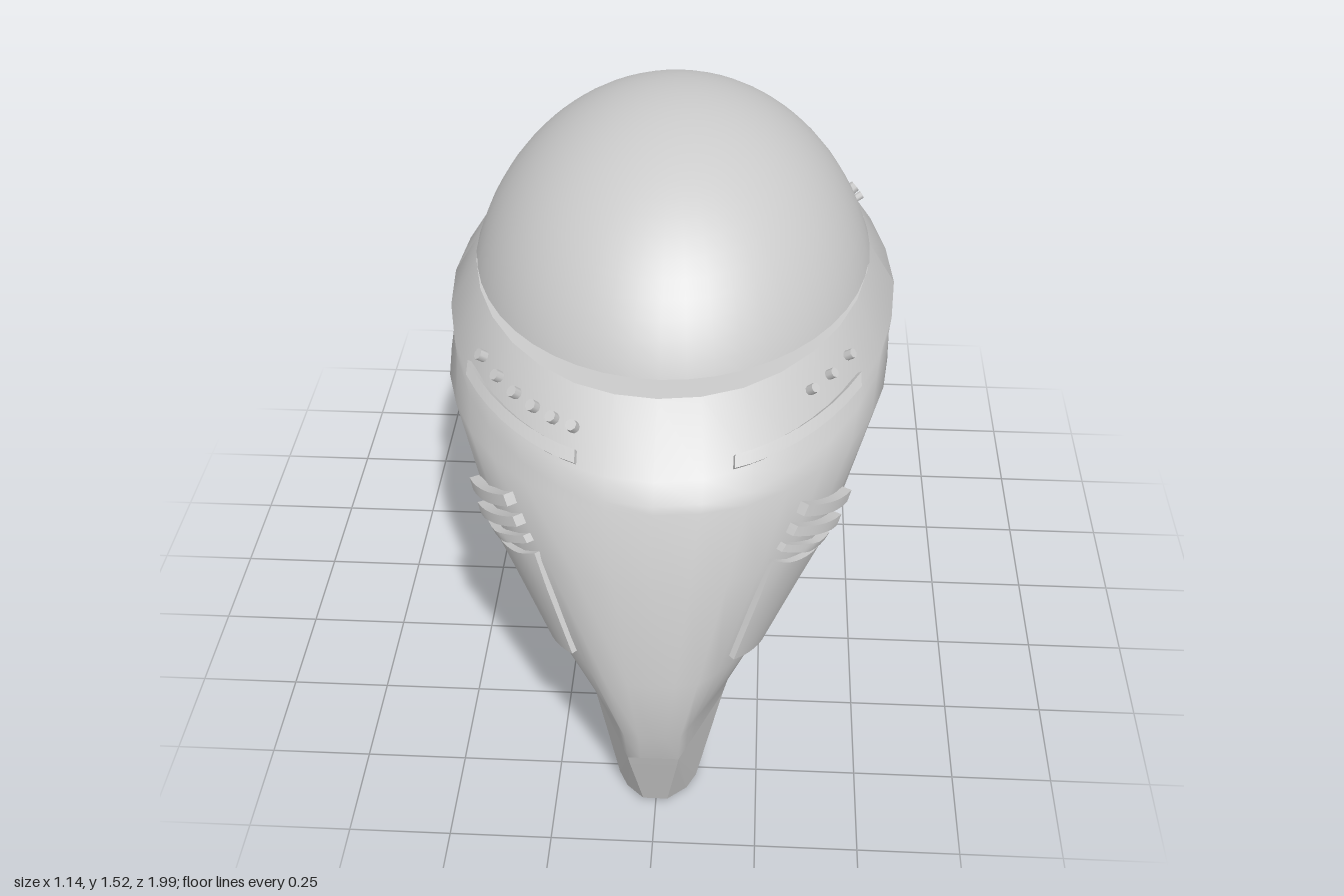
import * as THREE from 'three';
import { ConvexGeometry } from 'three/addons/geometries/ConvexGeometry.js';

const grey = new THREE.MeshStandardMaterial({ color: 0xcccccc });
const shellGrey = new THREE.MeshStandardMaterial({ color: 0xcccccc, side: THREE.DoubleSide });
const { lerp } = THREE.MathUtils;

// Shell sections: height, half width, z of the opening's edge, z of the nose, flatness
const ROWS = [
  [1.13, 0.50, 0, 0.715, 0.03],
  [1.016, 0.57, 0, 0.87, 0.06],
  [0.965, 0.565, 0, 0.895, 0.07],
  [0.95, 0.545, 0.26, 0.905, 0.1],
  [0.78, 0.44, 0.53, 0.957, 0.15],
  [0.52, 0.28, 0.70, 0.997, 0.4],
  [0.337, 0.172, 0.777, 0.978, 1],
  [0.24, 0.16, 0.724, 0.952, 1],
];
const NOSE = 0.38; // width of the flat nose strip relative to the section

// Point of one section; u runs from the opening's edge (0) to the nose (1)
function sectionPoint([y, w, e, f, k], u) {
  const a = u * Math.PI / 2;
  const t = Math.min(u / 0.75, 1);
  const flatX = u < 0.75 ? lerp(w, w * NOSE, t) : w * NOSE * (1 - u) / 0.25;
  return new THREE.Vector3(
    lerp(w * Math.cos(a), flatX, k), y,
    lerp(e + (f - e) * Math.sin(a), lerp(e, f, t), k));
}

function surface(y, u) {
  let i = 0;
  while (i < ROWS.length - 2 && y < ROWS[i + 1][0]) i++;
  const t = (y - ROWS[i][0]) / (ROWS[i + 1][0] - ROWS[i][0]);
  return sectionPoint(ROWS[i].map((v, n) => lerp(v, ROWS[i + 1][n], t)), u);
}

// Surface point and outward normal found from a front position (x, y)
function locate(x, y) {
  let lo = 0, hi = 1;
  for (let n = 0; n < 30; n++) {
    const mid = (lo + hi) / 2;
    if (surface(y, mid).x > x) lo = mid; else hi = mid;
  }
  const point = surface(y, lo);
  const across = surface(y, lo + 0.02).sub(surface(y, lo - 0.02));
  const down = surface(y - 0.01, lo).sub(surface(y + 0.01, lo));
  return { point, normal: across.cross(down).normalize() };
}

// Front half of the shell, from the +x edge over the nose to the -x edge
function shellGeometry() {
  const half = 8, n = half * 2 + 1;
  const pos = [], idx = [];
  ROWS.forEach((row, i) => {
    for (let j = 0; j < n; j++) {
      const p = sectionPoint(row, 1 - Math.abs(j - half) / half);
      pos.push(j > half ? -p.x : p.x, p.y, p.z);
      if (i < ROWS.length - 1 && j < n - 1) {
        const a = i * n + j;
        idx.push(a, a + 1, a + n, a + 1, a + n + 1, a + n);
      }
    }
  });
  const g = new THREE.BufferGeometry();
  g.setAttribute('position', new THREE.Float32BufferAttribute(pos, 3));
  g.setIndex(idx);
  g.computeVertexNormals();
  // Keep shading continuous where the halves meet
  const N = g.attributes.normal, v = new THREE.Vector3();
  for (let i = 0; i < N.count; i++) {
    if (Math.abs(g.attributes.position.getZ(i)) > 1e-4) continue;
    v.fromBufferAttribute(N, i).setZ(0).normalize();
    N.setXYZ(i, v.x, v.y, v.z);
  }
  return g;
}

// Solid toe with an inward lip
function footGeometry() {
  const rings = [ // y, half width at back, z back, half width at front, z front
    [0.24, 0.16, 0.724, 0.16 * NOSE, 0.952],
    [0.21, 0.16, 0.654, 0.057, 0.943],
    [0.03, 0.102, 0.735, 0.03, 0.887],
    [0, 0.097, 0.775, 0.075, 0.82],
  ];
  const pts = [];
  for (const [y, wb, zb, wf, zf] of rings)
    for (const s of [1, -1])
      pts.push(new THREE.Vector3(s * wb, y, zb), new THREE.Vector3(s * wf, y, zf));
  return new ConvexGeometry(pts);
}

// Raised pad hugging the shell; corners: lower left, lower right, upper right, upper left
function padGeometry(c, height) {
  const g = new THREE.BoxGeometry(1, 1, 1, 8, 3, 1);
  const p = g.attributes.position;
  for (let i = 0; i < p.count; i++) {
    const s = p.getX(i) + 0.5, t = p.getY(i) + 0.5;
    const x = lerp(lerp(c[0][0], c[1][0], s), lerp(c[3][0], c[2][0], s), t);
    const y = lerp(lerp(c[0][1], c[1][1], s), lerp(c[3][1], c[2][1], s), t);
    const { point, normal } = locate(x, y);
    point.addScaledVector(normal, p.getZ(i) > 0 ? height : -0.025);
    p.setXYZ(i, point.x, point.y, point.z);
  }
  g.computeVertexNormals();
  return g;
}

export function createModel() {
  const model = new THREE.Group();
  const add = (name, geometry, material = grey, parent = model) => {
    const m = new THREE.Mesh(geometry, material);
    m.name = name;
    parent.add(m);
    return m;
  };

  // Shell halves and toes
  const shell = shellGeometry(), foot = footGeometry();
  ['front', 'back'].forEach((end, i) => {
    add(end + 'Shell', shell, shellGrey).rotation.y = i * Math.PI;
    add(end + 'Foot', foot).rotation.y = i * Math.PI;
  });

  // Dome: cap of an ellipsoid
  const dome = add('dome', new THREE.SphereGeometry(1, 48, 16, 0, Math.PI * 2, 0, 1.26), shellGrey);
  dome.scale.set(0.527, 0.57, 0.675);
  dome.position.y = 0.95;

  // Flat rim around the dome
  const rimShape = new THREE.Shape();
  for (let i = 0; i < 32; i++) {
    const p = sectionPoint(ROWS[0], 1 - Math.abs((i % 16) - 8) / 8);
    const sx = i % 16 > 8 ? -1 : 1, flip = i < 16 ? 1 : -1;
    rimShape[i ? 'lineTo' : 'moveTo'](sx * flip * p.x, flip * p.z);
  }
  rimShape.holes.push(new THREE.Path().absellipse(0, 0, 0.485, 0.625, 0, Math.PI * 2, true));
  const rim = add('rim', new THREE.ShapeGeometry(rimShape, 24), shellGrey);
  rim.rotation.x = -Math.PI / 2;
  rim.position.y = 1.13;

  // Slot bar, vent bars and tapered panel in each quarter
  const ventBar = (x, y, w) => [
    [x - 0.055, y + 0.035 - w], [x + 0.045, y - 0.035 - w],
    [x + 0.055, y - 0.035 + w], [x - 0.045, y + 0.035 + w]];
  const pads = [
    ['slotBar', padGeometry([[0.175, 1.022], [0.46, 1.022], [0.46, 1.04], [0.175, 1.04]], 0.012)],
    ['upperVent', padGeometry(ventBar(0.375, 0.856, 0.011), 0.024)],
    ['middleVent', padGeometry(ventBar(0.352, 0.82, 0.009), 0.024)],
    ['lowerVent', padGeometry(ventBar(0.332, 0.788, 0.006), 0.018)],
    ['sidePanel', padGeometry([[0.177, 0.554], [0.24, 0.518], [0.365, 0.735], [0.262, 0.8]], 0.014)],
  ];
  for (const sx of [1, -1]) for (const sz of [1, -1]) {
    const quarter = new THREE.Group();
    quarter.name = (sz > 0 ? 'front' : 'back') + (sx > 0 ? 'Left' : 'Right') + 'Details';
    quarter.scale.set(sx, 1, sz);
    pads.forEach(([name, g]) => add(name, g, grey, quarter));
    model.add(quarter);
  }

  // Small studs above the slot bars
  const stud = (x, y, sz, r) => {
    const { point, normal } = locate(Math.abs(x), y);
    const flip = new THREE.Vector3(Math.sign(x), 1, sz);
    const m = add('stud', new THREE.CylinderGeometry(r, r, 0.04, 8));
    m.position.copy(point.multiply(flip));
    m.quaternion.setFromUnitVectors(new THREE.Vector3(0, 1, 0), normal.multiply(flip));
  };
  for (let i = 0; i < 6; i++) stud(-0.185 - i * 0.048, 1.07, 1, 0.014);
  for (let i = 0; i < 3; i++) stud(0.345 + i * 0.044, 1.08, 1, 0.012);
  stud(0.465, 1.065, -1, 0.016);
  stud(0.485, 1.02, -1, 0.011);
  return model;
}
